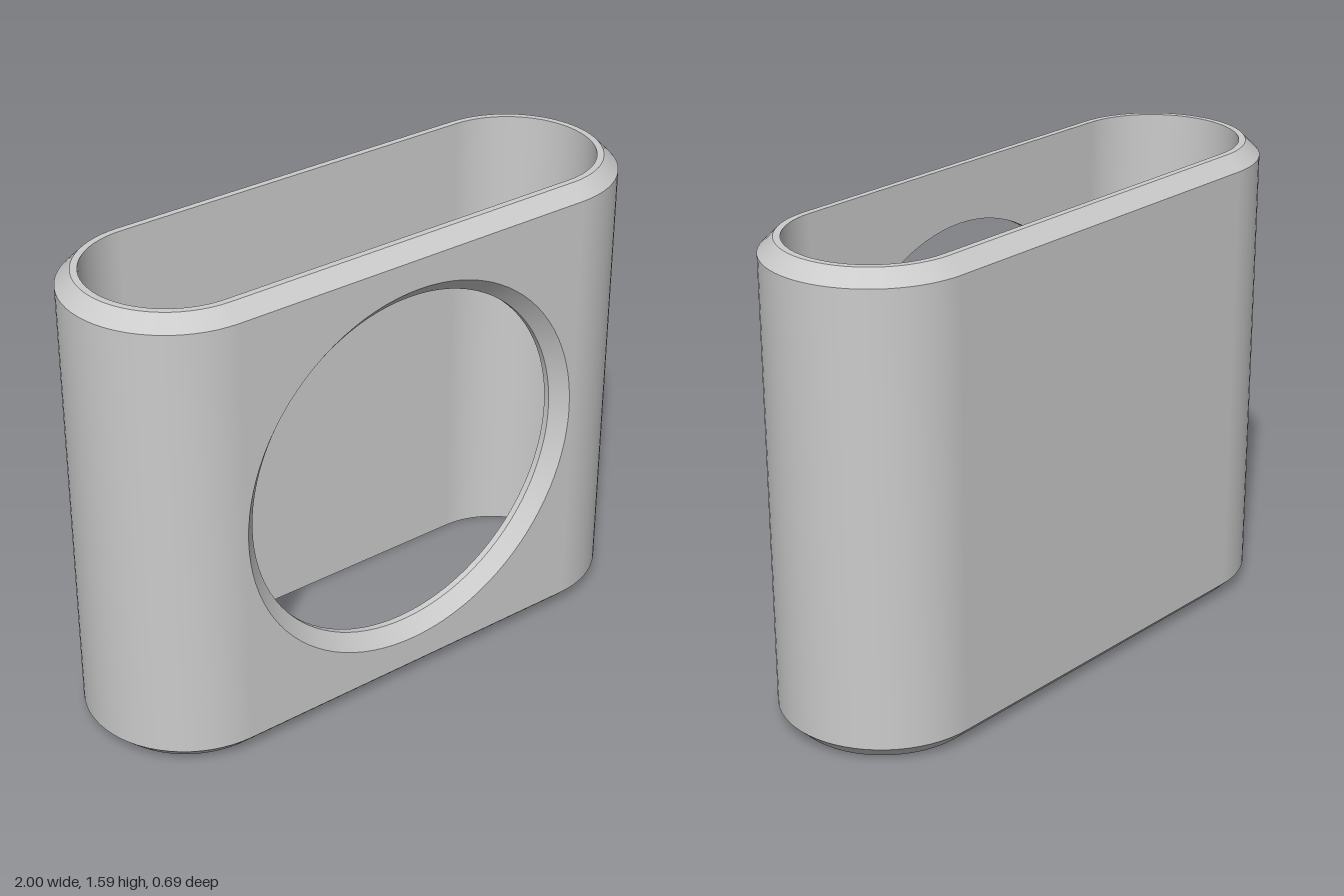
import * as THREE from 'three';

const H = 1.585;          // height
const R = 0.345;          // outer end radius
const RI = 0.275;         // inner end radius
const S = 1 - R;          // half length of the straight walls
const C = 0.048;          // chamfer
const HOLE = 0.597;       // window radius
const CAP = 32;           // segments per rounded end

const material = new THREE.MeshStandardMaterial({ color: 0xcccccc });

// Stations round the oval: right end, back, left end (closing across the front if asked)
function ovalStations(closed) {
  const stations = [];
  for (const side of [1, -1]) {
    for (let i = 0; i <= CAP; i++) {
      const a = side * Math.PI / 2 - Math.PI * i / CAP;
      stations.push({ cx: side * S, nx: Math.cos(a), nz: Math.sin(a) });
    }
  }
  if (closed) stations.push(stations[0]);
  return stations;
}

// Sweep one straight profile edge, from [radius, y] to [radius, y], round the oval
function ovalBand([r0, y0], [r1, y1], closed = true) {
  const pos = [], nor = [], index = [];
  const len = Math.hypot(r1 - r0, y1 - y0);
  const nr = (y1 - y0) / len, ny = (r0 - r1) / len;
  const stations = ovalStations(closed);
  stations.forEach(({ cx, nx, nz }, i) => {
    pos.push(cx + nx * r0, y0, nz * r0, cx + nx * r1, y1, nz * r1);
    for (let k = 0; k < 2; k++) nor.push(nx * nr, ny, nz * nr);
    if (i < stations.length - 1) {
      const a = 2 * i;
      index.push(a, a + 2, a + 1, a + 2, a + 3, a + 1);
    }
  });
  const g = new THREE.BufferGeometry();
  g.setAttribute('position', new THREE.Float32BufferAttribute(pos, 3));
  g.setAttribute('normal', new THREE.Float32BufferAttribute(nor, 3));
  g.setIndex(index);
  return g;
}

// Flat front wall with a round window
function windowPanel(y0, y1, radius) {
  const shape = new THREE.Shape();
  shape.moveTo(-S, y0).lineTo(S, y0).lineTo(S, y1).lineTo(-S, y1).closePath();
  const hole = new THREE.Path();
  hole.absarc(0, H / 2, radius, 0, Math.PI * 2, true);
  shape.holes.push(hole);
  return new THREE.ShapeGeometry(shape, 48);
}

// Ring lining the window, from [radius, z] to [radius, z]
function windowRing(a, b) {
  const points = [new THREE.Vector2(...a), new THREE.Vector2(...b)];
  return new THREE.LatheGeometry(points, 96).rotateX(Math.PI / 2).translate(0, H / 2, 0);
}

export function createModel() {
  const group = new THREE.Group();
  group.name = 'ovalSleeve';
  const add = (name, geometry) => {
    const mesh = new THREE.Mesh(geometry, material);
    mesh.name = name;
    group.add(mesh);
    return mesh;
  };

  // Walls round the ends and back
  add('outerWall', ovalBand([R, C], [R, H - C], false));
  add('innerWall', ovalBand([RI, H], [RI, 0], false));

  // Chamfers and flat rims
  add('bottomChamfer', ovalBand([R - C, 0], [R, C]));
  add('topChamfer', ovalBand([R, H - C], [R - C, H]));
  add('topRim', ovalBand([R - C, H], [RI, H]));
  add('bottomRim', ovalBand([RI, 0], [R - C, 0]));

  // Front wall, outside and inside
  add('frontPanelOuter', windowPanel(C, H - C, HOLE + C).translate(0, 0, R));
  const inside = windowPanel(0, H, HOLE).rotateY(Math.PI).translate(0, 0, RI);
  add('frontPanelInner', inside);

  // Chamfered window edge
  add('windowChamfer', windowRing([HOLE + C, R], [HOLE, R - C]));
  add('windowEdge', windowRing([HOLE, R - C], [HOLE, RI]));

  return group;
}
